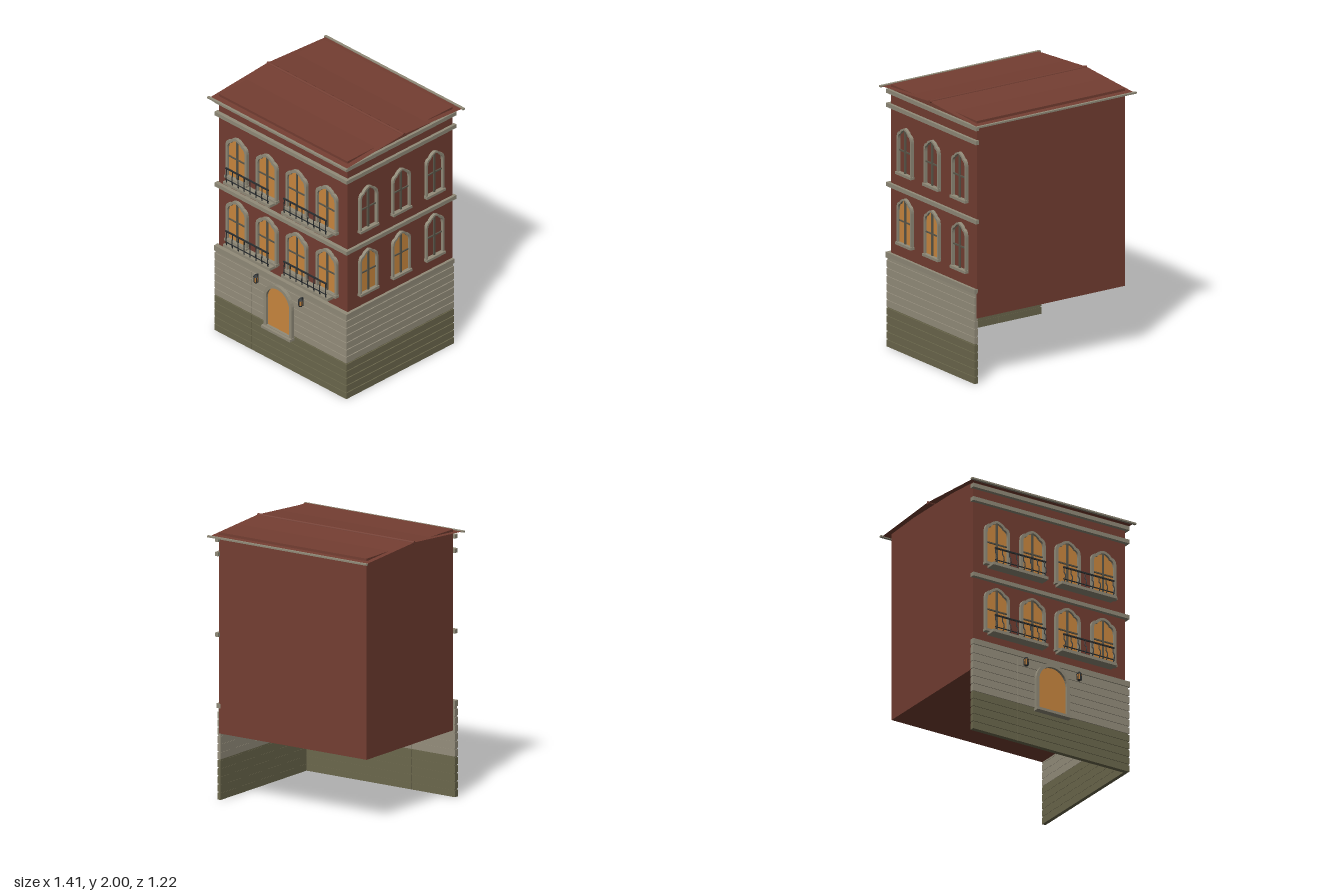
import * as THREE from 'three';

const mat = (name, color, side = THREE.FrontSide) => {
  const m = new THREE.MeshStandardMaterial({ color, side });
  m.name = name;
  return m;
};

export function createModel() {
  const brick = mat('red brick', 0x743e32);
  const roofRed = mat('roof red', 0x743e32, THREE.DoubleSide);
  const stone = mat('stone', 0x968f7d);
  const plinth = mat('dark olive stone', 0x6c684d);
  const trim = mat('trim', 0x918b79);
  const glow = mat('lit glass', 0xcb883f, THREE.DoubleSide);
  const bars = mat('window bars', 0x5b574a);
  const iron = mat('dark iron', 0x2b2f31);

  const model = new THREE.Group();
  const add = (parent, name, geo, material, x = 0, y = 0, z = 0) => {
    const m = new THREE.Mesh(geo, material);
    m.name = name;
    m.position.set(x, y, z);
    parent.add(m);
    return m;
  };
  // Box given by its min and max along each axis
  const box = (parent, name, material, x0, x1, y0, y1, z0, z1) =>
    add(parent, name, new THREE.BoxGeometry(x1 - x0, y1 - y0, z1 - z0), material,
      (x0 + x1) / 2, (y0 + y1) / 2, (z0 + z1) / 2);
  const group = (name, parent = model) => {
    const g = new THREE.Group();
    g.name = name;
    parent.add(g);
    return g;
  };

  // Main block
  box(model, 'brickBody', brick, -0.65, 0.65, 0.49, 1.973, -0.535, 0.52);

  // Low gabled roof with ridge pole and eave strips
  const roof = group('roof');
  const ridgeZ = -0.008, ridgeY = 1.99;
  for (const [edge, out] of [[0.575, 0.58], [-0.6, -0.6]]) {
    const run = edge - ridgeZ, drop = 0.04;
    const slope = add(roof, 'roofSlope', new THREE.PlaneGeometry(1.38, Math.hypot(run, drop)), roofRed,
      0, ridgeY - drop / 2, (edge + ridgeZ) / 2);
    slope.rotation.x = -Math.PI / 2 + Math.sign(run) * Math.atan2(drop, Math.abs(run));
    box(roof, 'eaveStrip', trim, -0.704, 0.704, 1.944, 1.956, out - 0.01, out + 0.01);
  }
  add(roof, 'ridgePole', new THREE.CylinderGeometry(0.012, 0.012, 1.38, 10), roofRed, 0, 1.988, ridgeZ)
    .rotation.z = Math.PI / 2;

  // String courses wrapping the front and the left side
  for (const [y0, y1] of [[1.905, 1.935], [1.8, 1.83], [1.205, 1.235]]) {
    const g = group('cornice');
    box(g, 'frontCornice', trim, -0.668, 0.672, y0, y1, 0.515, 0.55);
    box(g, 'sideCornice', trim, 0.645, 0.672, y0, y1, -0.555, 0.515);
  }
  box(model, 'frontBaseCourse', trim, -0.67, 0.672, 0.667, 0.71, 0.515, 0.553);
  box(model, 'sideBaseCourse', trim, 0.64, 0.672, 0.675, 0.71, -0.535, 0.515);

  // Ground floor: two walls of coursed stone, olive at the foot
  const base = group('groundFloor');
  const pitch = 0.0598;
  for (const [m, y0, y1] of [[plinth, 0, 5 * pitch], [stone, 5 * pitch, 0.68]]) {
    box(base, 'frontBacking', m, -0.665, 0.66, y0, y1, 0.517, 0.544);
    box(base, 'sideBacking', m, 0.642, 0.66, y0, y1, -0.53, 0.517);
  }
  for (let i = 0; i < 11; i++) {
    const m = i < 5 ? plinth : stone, y0 = i * pitch, y1 = y0 + pitch - 0.01;
    box(base, 'frontCourse', m, -0.67, -0.292, y0, y1, 0.515, 0.55);
    box(base, 'frontCourse', m, -0.287, 0.668, y0, y1, 0.515, 0.55);
    box(base, 'sideCourse', m, 0.64, 0.668, y0, y1, -0.533, 0.515);
  }

  // Ogee window outline: half width a, from y0 up to peak h
  const ogee = (path, a, y0, h) => {
    path.moveTo(-a, y0);
    path.lineTo(a, y0);
    path.lineTo(a, h - 0.09);
    path.quadraticCurveTo(a * 0.98, h - 0.04, a * 0.62, h - 0.037);
    path.quadraticCurveTo(a * 0.45, h - 0.01, 0, h);
    path.quadraticCurveTo(-a * 0.45, h - 0.01, -a * 0.62, h - 0.037);
    path.quadraticCurveTo(-a * 0.98, h - 0.04, -a, h - 0.09);
    path.closePath();
    return path;
  };
  // Round-arched door outline
  const arch = (path, a, y0, h) => {
    path.moveTo(-a, y0);
    path.lineTo(a, y0);
    path.lineTo(a, h - a);
    path.absarc(0, h - a, a, 0, Math.PI, false);
    path.closePath();
    return path;
  };
  const framed = (g, outline, a, h, t, depth, lit) => {
    const s = outline(new THREE.Shape(), a, 0, h);
    s.holes.push(outline(new THREE.Path(), a - t, t * 0.5, h - t));
    add(g, 'frame', new THREE.ExtrudeGeometry(s, { depth, bevelEnabled: false, curveSegments: 8 }), trim);
    if (lit) add(g, 'litPane',
      new THREE.ShapeGeometry(outline(new THREE.Shape(), a - t * 0.8, t * 0.4, h - t * 0.8), 8), glow, 0, 0, 0.006);
  };
  const makeWindow = (a, lit, t) => {
    const g = group('window'), h = 0.35;
    framed(g, ogee, a, h, t, 0.024, lit);
    box(g, 'uprightBar', bars, -0.007, 0.007, 0.005, h - t, 0.004, 0.016);
    box(g, 'crossBar', bars, -a + t, a - t, 0.166, 0.176, 0.004, 0.014);
    box(g, 'sill', trim, -a - 0.004, a + 0.004, -0.012, 0.008, 0, 0.034);
    return g;
  };

  const floors = [0.81, 1.338];
  floors.forEach((y, floor) => {
    for (const x of [-0.455, -0.15, 0.15, 0.455])
      makeWindow(0.106, true, 0.019).position.set(x, y, 0.521);
    [0.325, -0.005, -0.342].forEach((z, i) => {
      const w = makeWindow(0.09, floor === 0 && i < 2, 0.014);
      w.position.set(0.651, y + 0.006, z);
      w.rotation.y = Math.PI / 2;
    });

    // Balconies with bellied balusters
    for (const side of [-1, 1]) {
      const g = group('balcony');
      g.position.set(side * 0.293, y, 0);
      box(g, 'slab', trim, -0.236, 0.236, -0.03, -0.008, 0.515, 0.602);
      box(g, 'topRail', iron, -0.218, 0.218, 0.102, 0.112, 0.588, 0.598);
      box(g, 'bottomRail', iron, -0.218, 0.218, 0.012, 0.018, 0.59, 0.596);
      for (let i = 0; i < 8; i++) {
        const curve = new THREE.CatmullRomCurve3([[0, -0.008, 0], [0.003, 0.02, 0.006], [0.005, 0.045, 0.008],
          [-0.002, 0.075, -0.002], [0, 0.105, 0]].map(p => new THREE.Vector3(...p)));
        add(g, 'baluster', new THREE.TubeGeometry(curve, 10, 0.0042, 5), iron, -0.21 + i * 0.06, 0, 0.593);
      }
    }
  });

  // Arched entrance
  const door = group('door');
  door.position.set(-0.002, 0.28, 0.551);
  framed(door, arch, 0.143, 0.383, 0.025, 0.027, true);
  box(door, 'threshold', trim, -0.147, 0.147, -0.012, 0.008, 0, 0.048);

  // Wall lanterns beside the entrance
  for (const x of [-0.228, 0.226]) {
    const g = group('lantern');
    g.position.set(x, 0.628, 0.57);
    add(g, 'lanternGlass', new THREE.CylinderGeometry(0.017, 0.011, 0.045, 6), glow, 0, -0.004, 0);
    add(g, 'lanternCap', new THREE.CylinderGeometry(0.008, 0.022, 0.018, 6), iron, 0, 0.027, 0);
    add(g, 'lanternFoot', new THREE.CylinderGeometry(0.014, 0.008, 0.01, 6), iron, 0, -0.03, 0);
    box(g, 'lanternBracket', iron, -0.006, 0.006, 0.015, 0.034, -0.022, 0);
    for (let i = 0; i < 6; i++) {
      const a = i * Math.PI / 3;
      box(g, 'lanternRib', iron, -0.002, 0.002, -0.028, 0.02, -0.002, 0.002)
        .position.set(Math.sin(a) * 0.016, -0.004, Math.cos(a) * 0.016);
    }
  }
  return model;
}
